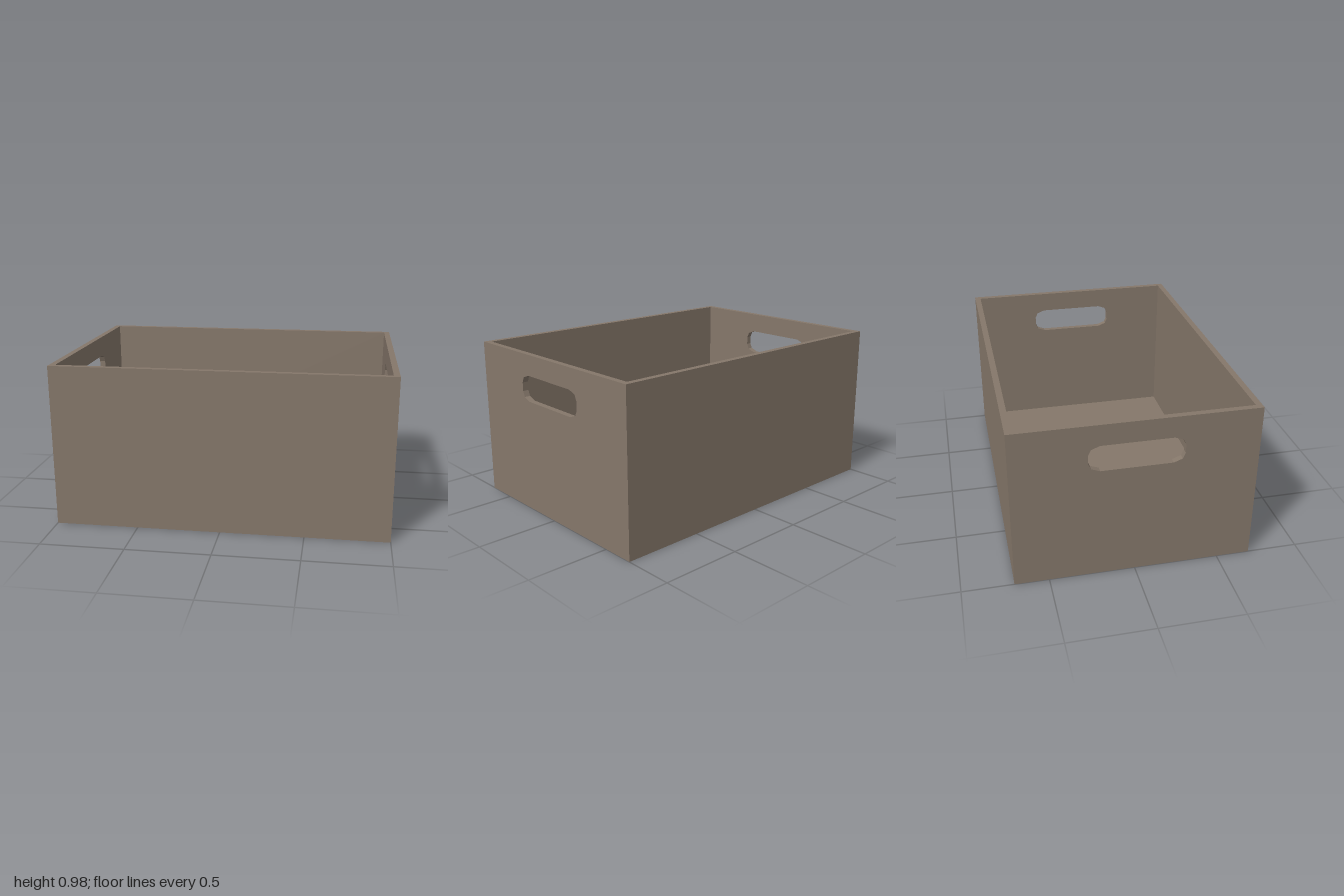
import * as THREE from 'three';

const W = 2, H = 0.98, D = 1.4, T = 0.036;

// End panel outline with a chamfered hand hole
function endPanelGeometry() {
  const shape = new THREE.Shape();
  shape.moveTo(-D / 2, 0);
  shape.lineTo(D / 2, 0);
  shape.lineTo(D / 2, H);
  shape.lineTo(-D / 2, H);
  shape.closePath();

  const cy = 0.774;
  const corner = [[0.27, 0.026], [0.255, 0.06], [0.205, 0.079]];
  const mirrored = corner.map(([x, y]) => [-x, y]).reverse();
  const upper = [...corner, ...mirrored];
  const outline = [...upper, ...upper.map(([x, y]) => [-x, -y])];
  shape.holes.push(new THREE.Path(outline.map(([x, y]) => new THREE.Vector2(x, cy + y))));

  const geo = new THREE.ExtrudeGeometry(shape, { depth: T, bevelEnabled: false });
  geo.translate(0, 0, -T / 2);
  geo.rotateY(Math.PI / 2);
  return geo;
}

export function createModel() {
  const crate = new THREE.Group();
  crate.name = 'storageCrate';
  const wood = new THREE.MeshStandardMaterial({ color: 0x85776a });
  wood.name = 'taupe wood';

  const add = (name, geo, x, y, z) => {
    const mesh = new THREE.Mesh(geo, wood);
    mesh.name = name;
    mesh.position.set(x, y, z);
    crate.add(mesh);
  };

  // End panels with hand holes
  const end = endPanelGeometry();
  add('leftEndPanel', end, W / 2 - T / 2, 0, 0);
  add('rightEndPanel', end, -W / 2 + T / 2, 0, 0);

  // Long walls fitted between the ends
  const wall = new THREE.BoxGeometry(W - 2 * T, H, T);
  add('frontWall', wall, 0, H / 2, D / 2 - T / 2);
  add('backWall', wall, 0, H / 2, -D / 2 + T / 2);

  // Floor fitted between all four walls
  add('floor', new THREE.BoxGeometry(W - 2 * T, T, D - 2 * T), 0, T / 2, 0);

  return crate;
}
